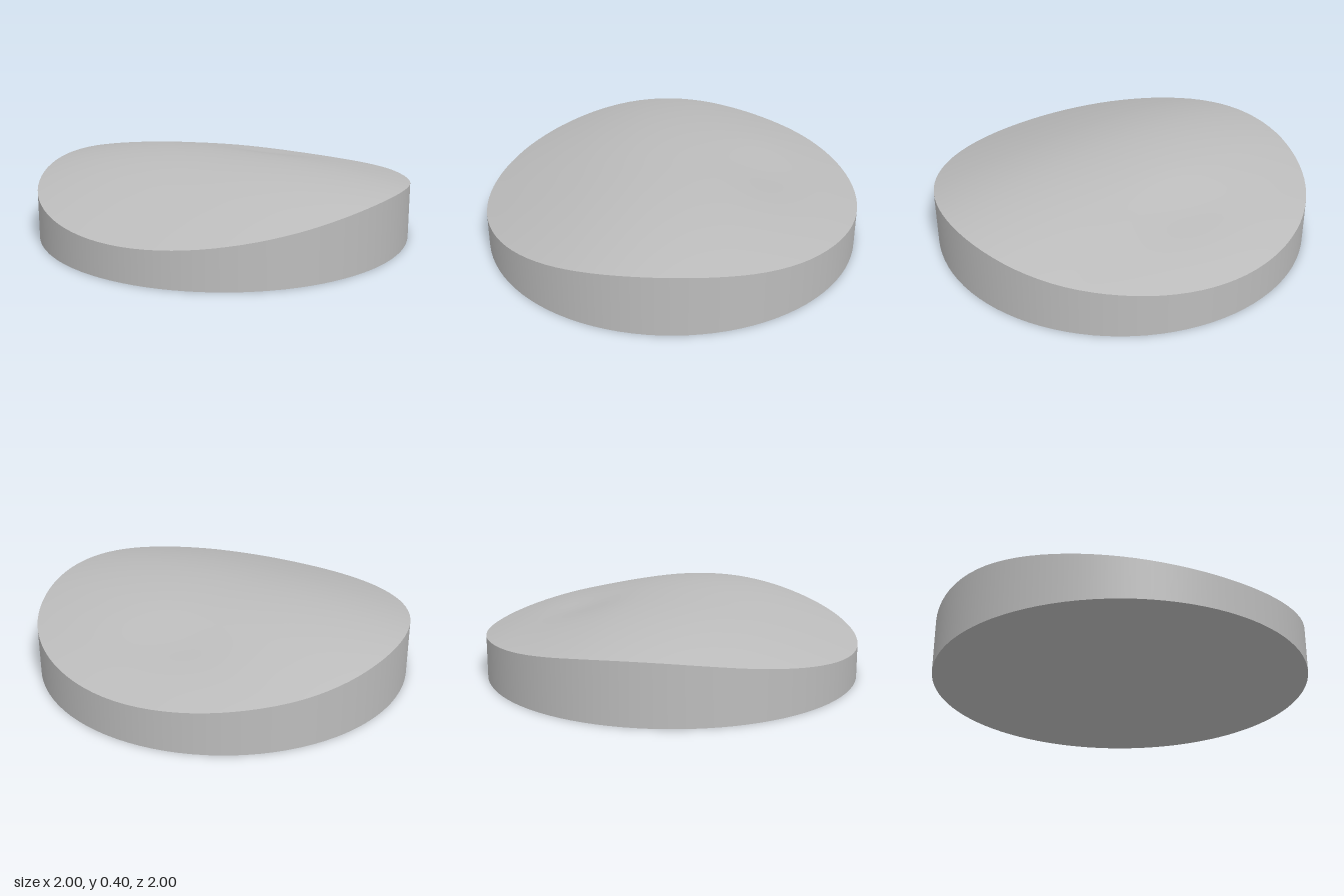
import * as THREE from 'three';
import { mergeVertices } from 'three/addons/utils/BufferGeometryUtils.js';

const SEGMENTS = 96;

// crest height at even steps of z from -1.2 (back) to 1.2 (front)
const crestHeights = [0.15, 0.21, 0.265, 0.31, 0.352, 0.385, 0.399, 0.391, 0.36, 0.31, 0.248, 0.178, 0.11];
const crest = new THREE.SplineCurve(crestHeights.map((h, i) => new THREE.Vector2(-1.2 + i * 0.2, h)));

// height of the domed surface at any point of the disc
function surfaceHeight(x, z) {
  const ridge = crest.getPoint((z + 1.2) / 2.4).y;
  const fall = (x < 0 ? 0.083 : 0.071) * Math.pow(Math.abs(x), 2.5);
  const dent = 0.016 * Math.exp(-((x + 0.03) ** 2 / 0.07 + (z + 0.5) ** 2 / 0.03));
  return ridge - fall - dent;
}

export function createModel() {
  const group = new THREE.Group();
  const grey = new THREE.MeshStandardMaterial({ color: 0xbcbcbc });
  grey.name = 'grey';

  const add = (name, geometry) => {
    const mesh = new THREE.Mesh(geometry, grey);
    mesh.name = name;
    group.add(mesh);
  };

  // domed top with a shallow dent towards the back
  let top = new THREE.RingGeometry(0, 1, SEGMENTS, 40).rotateX(-Math.PI / 2);
  top.deleteAttribute('uv');
  top.deleteAttribute('normal');
  top = mergeVertices(top, 1e-5);
  const p = top.attributes.position;
  for (let i = 0; i < p.count; i++) p.setY(i, surfaceHeight(p.getX(i), p.getZ(i)));
  top.computeVertexNormals();
  add('domedTop', top);

  // upright wall whose upper edge follows the top
  const wall = new THREE.CylinderGeometry(1, 1, 1, SEGMENTS, 1, true);
  const w = wall.attributes.position;
  for (let i = 0; i < w.count; i++) {
    w.setY(i, w.getY(i) > 0 ? surfaceHeight(w.getX(i), w.getZ(i)) : 0);
  }
  add('sideWall', wall);

  // flat underside
  add('base', new THREE.CircleGeometry(1, SEGMENTS).rotateX(Math.PI / 2));

  return group;
}
